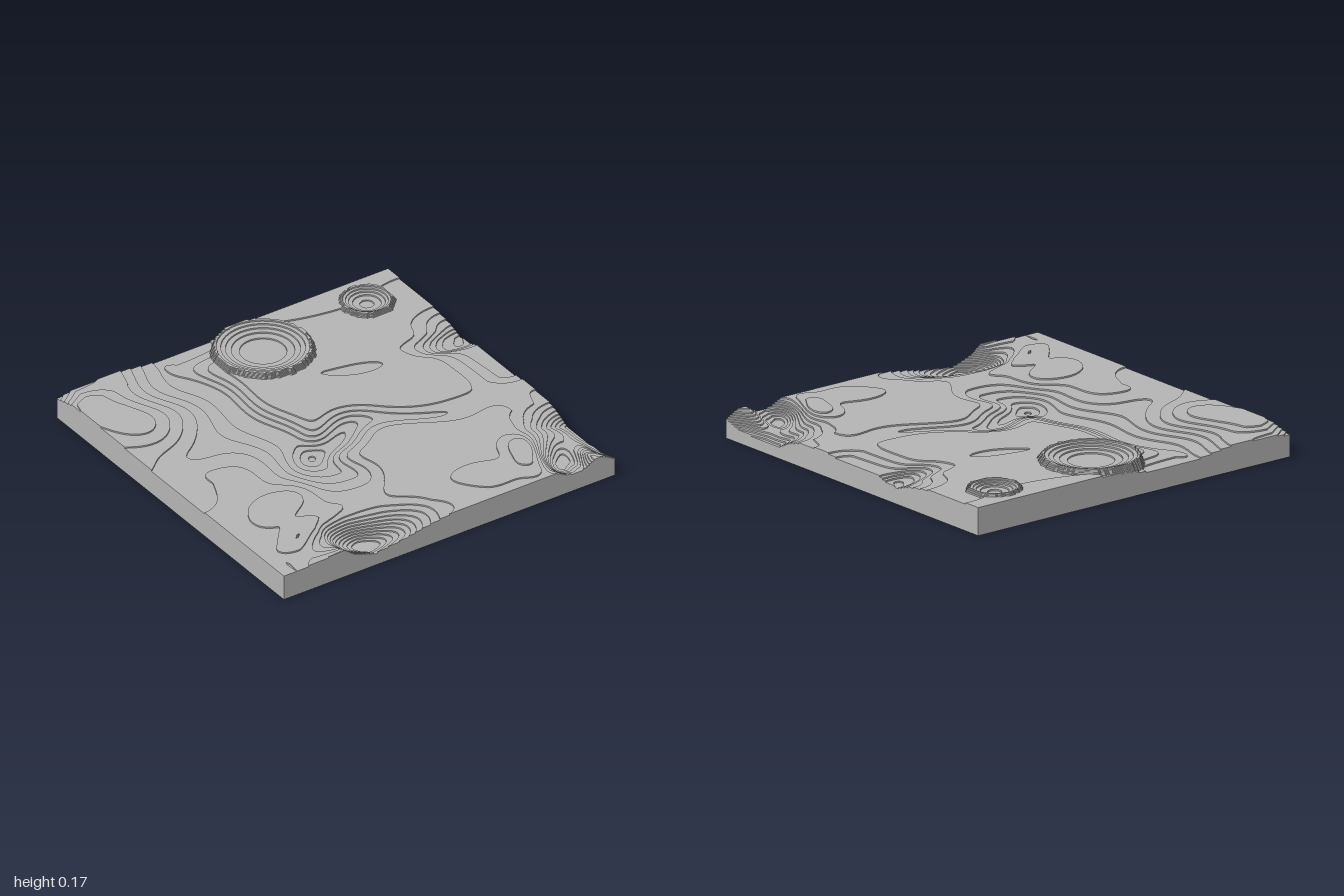
import * as THREE from 'three';

const STEP = 0.008;   // thickness of one terrace
const CELLS = 150;    // sampling grid of the height field

// Linear interpolation through [position, height] pairs
function profile(points, t) {
  for (let i = 1; i < points.length; i++) {
    const [a, ha] = points[i - 1], [b, hb] = points[i];
    if (t <= b) return ha + (hb - ha) * Math.max(0, (t - a) / (b - a));
  }
  return points[points.length - 1][1];
}

// Heights along the four borders of the plate
const FRONT = [[-1, 0.142], [-0.92, 0.136], [-0.8, 0.15], [-0.63, 0.155], [-0.57, 0.11], [-0.5, 0.085], [-0.45, 0.07],
  [-0.25, 0.095], [-0.15, 0.115], [0, 0.136], [0.3, 0.141], [0.6, 0.142], [0.66, 0.135], [0.71, 0.108], [0.76, 0.1],
  [0.82, 0.105], [0.88, 0.14], [0.93, 0.137], [1, 0.098]];
const BACK = [[-1, 0.112], [-0.91, 0.13], [-0.65, 0.14], [-0.45, 0.114], [-0.33, 0.104], [-0.1, 0.108], [0.03, 0.13],
  [0.19, 0.144], [1, 0.146]];
const RIGHT = [[-1, 0.146], [-0.8, 0.142], [-0.6, 0.136], [-0.5, 0.122], [-0.43, 0.11], [-0.37, 0.087], [-0.28, 0.09],
  [-0.22, 0.113], [0.1, 0.116], [0.2, 0.13], [0.4, 0.126], [0.5, 0.1], [0.58, 0.06], [0.7, 0.056], [0.9, 0.07], [1, 0.098]];
const LEFT = [[-1, 0.112], [-0.85, 0.15], [-0.7, 0.155], [-0.3, 0.14], [0.1, 0.128], [0.4, 0.14], [1, 0.142]];

// Hills and hollows: x, z, half length, half width, turn, height
const BUMPS = [
  [-0.48, 0.88, 0.3, 0.11, 0.25, -0.06],
  [-0.85, 0.72, 0.3, 0.08, -0.2, 0.015],
  [-0.02, 0.14, 0.24, 0.11, -0.35, -0.04],
  [0.4, 0.12, 0.4, 0.1, 0.25, -0.016],
  [0.3, -0.38, 0.24, 0.07, 0.3, -0.01],
  [1, 0.7, 0.16, 0.14, 0, -0.075],
  [0.7, 0.82, 0.1, 0.2, 0.35, -0.045],
  [0.88, 0.92, 0.05, 0.1, 0, 0.02],
  [0.56, 0.66, 0.07, 0.14, 0.5, 0.02],
  [0.3, 0.79, 0.16, 0.1, 0.2, 0.011],
  [0.95, -0.34, 0.28, 0.08, 0.25, -0.04],
  [-0.9, -0.68, 0.2, 0.22, 0, 0.02],
  [-0.72, -0.25, 0.2, 0.16, 0.4, -0.012],
  [-0.6, 0.4, 0.28, 0.1, -0.4, 0.012],
];

function hills(x0, z0) {
  // Bend the coordinates so that the terraces wander
  const x = x0 + 0.05 * Math.sin(5.2 * z0 + 1) + 0.025 * Math.sin(11 * z0 + 4 * x0);
  const z = z0 + 0.05 * Math.sin(4.6 * x0 + 2) + 0.02 * Math.sin(12 * x0 - 5 * z0);
  let h = 0.143 - 0.004 * Math.max(0, z0);
  for (const [cx, cz, rx, rz, turn, amount] of BUMPS) {
    const c = Math.cos(turn), s = Math.sin(turn), dx = x - cx, dz = z - cz;
    const u = (c * dx + s * dz) / rx, v = (c * dz - s * dx) / rz;
    h += amount * Math.exp(-u * u - v * v);
  }
  // Long valley running from back to front
  const side = x - (-0.3 + 0.1 * Math.sin(3 * z + 0.6));
  const width = side > 0 ? 0.11 : 0.26;
  h -= 0.034 * Math.exp(-((side / width) ** 2)) * (z > 0.3 ? Math.exp(-(((z - 0.3) / 0.3) ** 2)) : 1);
  return h;
}

const near = d => Math.exp(-((d / 0.2) ** 2));

// Draw the field towards the border profiles
const alongZ = (x, z) => hills(x, z)
  + (profile(FRONT, x) - hills(x, 1)) * near(1 - z) + (profile(BACK, x) - hills(x, -1)) * near(1 + z);
const terrain = (x, z) => alongZ(x, z)
  + (profile(RIGHT, z) - alongZ(1, z)) * near(1 - x) + (profile(LEFT, z) - alongZ(-1, z)) * near(1 + x);

// Round bowls with raised rims: x, z, radius, rim height, floor height
const CRATERS = [[0.07, -0.745, 0.252, 0.17, 0.128], [0.745, -0.815, 0.134, 0.164, 0.126]];

function height(x, z) {
  const ground = Math.min(0.155, Math.max(0.05, terrain(x, z)));
  for (const [cx, cz, radius, rim, floor] of CRATERS) {
    const r = Math.hypot(x - cx, z - cz) / radius;
    if (r < 1) return floor + (rim - floor) * Math.min(1, (r / 0.94) ** 2.4);
  }
  return ground;
}

// Keep the part of a polygon above (sign 1) or below (sign -1) a level
function clip(poly, level, sign) {
  const out = [];
  poly.forEach((a, i) => {
    const b = poly[(i + 1) % poly.length];
    const da = (a.h - level) * sign, db = (b.h - level) * sign;
    if (da >= 0) out.push(a);
    if ((da > 0 && db < 0) || (da < 0 && db > 0)) {
      const t = da / (da - db);
      out.push({ x: a.x + (b.x - a.x) * t, z: a.z + (b.z - a.z) * t, h: level });
    }
  });
  return out;
}

function terraceGeometry() {
  const positions = [];
  const triangle = (...corners) => corners.forEach(c => positions.push(...c));
  const wall = (a, b, low, high) => {
    triangle([a.x, low, a.z], [b.x, low, b.z], [b.x, high, b.z]);
    triangle([a.x, low, a.z], [b.x, high, b.z], [a.x, high, a.z]);
  };
  // Flat treads, risers between them, and the outer sides
  const addBands = tri => {
    const heights = tri.map(p => p.h);
    const first = Math.floor(Math.min(...heights) / STEP), last = Math.floor(Math.max(...heights) / STEP);
    for (let k = first; k <= last; k++) {
      const level = k * STEP, y = level + STEP / 2;
      const poly = clip(clip(tri, level, 1), (k + 1) * STEP, -1);
      if (poly.length < 3) continue;
      for (let i = 1; i < poly.length - 1; i++) {
        triangle(...[poly[0], poly[i], poly[i + 1]].map(p => [p.x, y, p.z]));
      }
      poly.forEach((a, i) => {
        const b = poly[(i + 1) % poly.length];
        const onBorder = (a.x === b.x && Math.abs(a.x) === 1) || (a.z === b.z && Math.abs(a.z) === 1);
        if (onBorder) wall(a, b, 0, y);
        else if (a.h === level && b.h === level) wall(a, b, y - STEP, y);
      });
    }
  };
  const grid = [];
  for (let i = 0; i <= CELLS; i++) {
    grid.push([]);
    for (let j = 0; j <= CELLS; j++) {
      const x = -1 + 2 * i / CELLS, z = -1 + 2 * j / CELLS;
      grid[i].push({ x, z, h: height(x, z) });
    }
  }
  for (let i = 0; i < CELLS; i++) {
    for (let j = 0; j < CELLS; j++) {
      const a = grid[i][j], b = grid[i][j + 1], c = grid[i + 1][j + 1], d = grid[i + 1][j];
      addBands([a, b, c]);
      addBands([a, c, d]);
    }
  }
  const geometry = new THREE.BufferGeometry();
  geometry.setAttribute('position', new THREE.Float32BufferAttribute(positions, 3));
  geometry.computeVertexNormals();
  return geometry;
}

export function createModel() {
  const group = new THREE.Group();
  group.name = 'terracedTerrain';
  const stone = new THREE.MeshStandardMaterial({ color: 0xb4b4b4 });
  stone.name = 'stone grey';

  const land = new THREE.Mesh(terraceGeometry(), stone);
  land.name = 'terracedLand';

  // Flat underside
  const underside = new THREE.Mesh(new THREE.PlaneGeometry(2, 2).rotateX(Math.PI / 2), stone);
  underside.name = 'underside';

  group.add(land, underside);
  return group;
}
